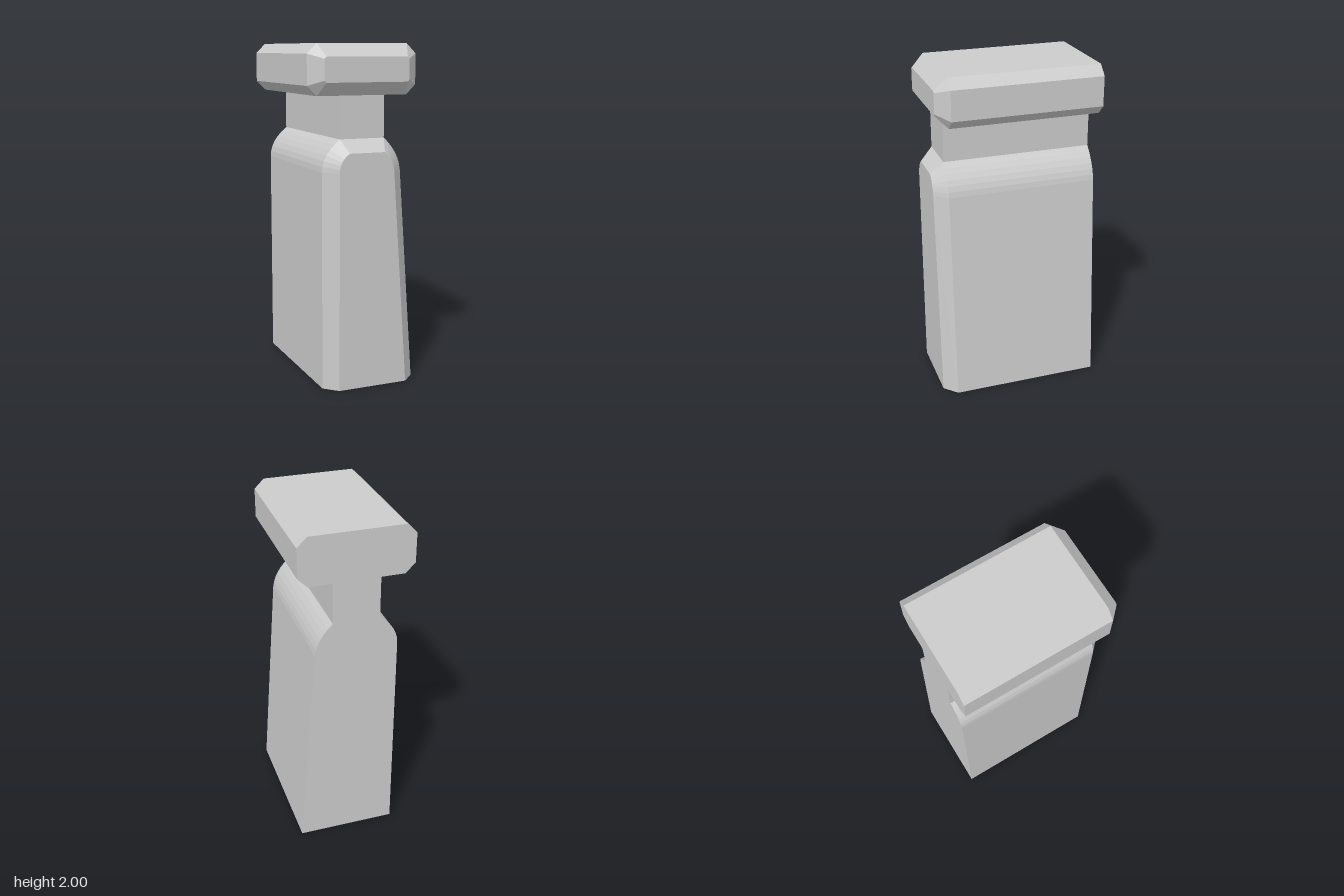
import * as THREE from 'three';

const BACK = -0.485, SHOULDER = 0.41, FRONT = 0.485;

// Skin counter-clockwise outlines of equal length from back to front and cap both ends.
function loft(rings) {
  const pos = [];
  const put = (ring, i) => pos.push(ring.pts[i][0], ring.pts[i][1], ring.z);
  const n = rings[0].pts.length;
  for (let r = 0; r < rings.length - 1; r++) {
    const a = rings[r], b = rings[r + 1];
    for (let i = 0; i < n; i++) {
      const j = (i + 1) % n;
      put(a, i); put(a, j); put(b, j);
      put(a, i); put(b, j); put(b, i);
    }
  }
  const cap = (ring, flip) => {
    const contour = ring.pts.map(([x, y]) => new THREE.Vector2(x, y));
    for (const [a, b, c] of THREE.ShapeUtils.triangulateShape(contour, [])) {
      for (const i of flip ? [a, c, b] : [a, b, c]) put(ring, i);
    }
  };
  cap(rings[0], true);
  cap(rings[rings.length - 1], false);
  const g = new THREE.BufferGeometry();
  g.setAttribute('position', new THREE.Float32BufferAttribute(pos, 3));
  g.computeVertexNormals();
  return g;
}

// Straight prism whose front edge is bevelled in to a smaller outline.
const bevelledPrism = (outer, inner) => loft([
  { pts: outer, z: BACK }, { pts: outer, z: SHOULDER }, { pts: inner, z: FRONT },
]);

// Rounded shoulder points along a quadratic curve.
function arc(from, control, to, steps = 6) {
  const v = (p) => new THREE.Vector2(...p);
  return new THREE.QuadraticBezierCurve(v(from), v(control), v(to))
    .getPoints(steps).map((p) => [p.x, p.y]);
}

// Rectangle with cut corners.
const octagon = (x0, x1, y0, y1, cx, cy) => [
  [x0 + cx, y0], [x1 - cx, y0], [x1, y0 + cy], [x1, y1 - cy],
  [x1 - cx, y1], [x0 + cx, y1], [x0, y1 - cy], [x0, y0 + cy],
];

export function createModel() {
  const group = new THREE.Group();
  const material = new THREE.MeshStandardMaterial({ color: 0xcccccc, flatShading: true });
  const add = (name, geometry) => {
    const mesh = new THREE.Mesh(geometry, material);
    mesh.name = name;
    group.add(mesh);
    return mesh;
  };

  // Body: one upright side, one sloping side, rounded shoulders
  const outer = [
    [-0.25, 0], [0.333, 0],
    ...arc([0.24, 1.28], [0.228, 1.38], [0.135, 1.465]),
    ...arc([-0.14, 1.465], [-0.25, 1.38], [-0.25, 1.28]),
  ];
  const inner = [
    [-0.172, 0], [0.257, 0],
    ...arc([0.167, 1.28], [0.158, 1.35], [0.107, 1.39]),
    ...arc([-0.112, 1.39], [-0.172, 1.35], [-0.172, 1.28]),
  ];
  add('body', bevelledPrism(outer, inner));

  // Neck between body and head
  const neck = add('neck', new THREE.BoxGeometry(0.275, 0.255, SHOULDER - BACK));
  neck.position.set(-0.003, 1.5875, (SHOULDER + BACK) / 2);

  // Head: bevelled bar overhanging the neck
  add('head', bevelledPrism(
    octagon(-0.338, 0.333, 1.71, 2, 0.058, 0.057),
    octagon(-0.264, 0.256, 1.785, 1.927, 0.012, 0.012),
  ));

  return group;
}
